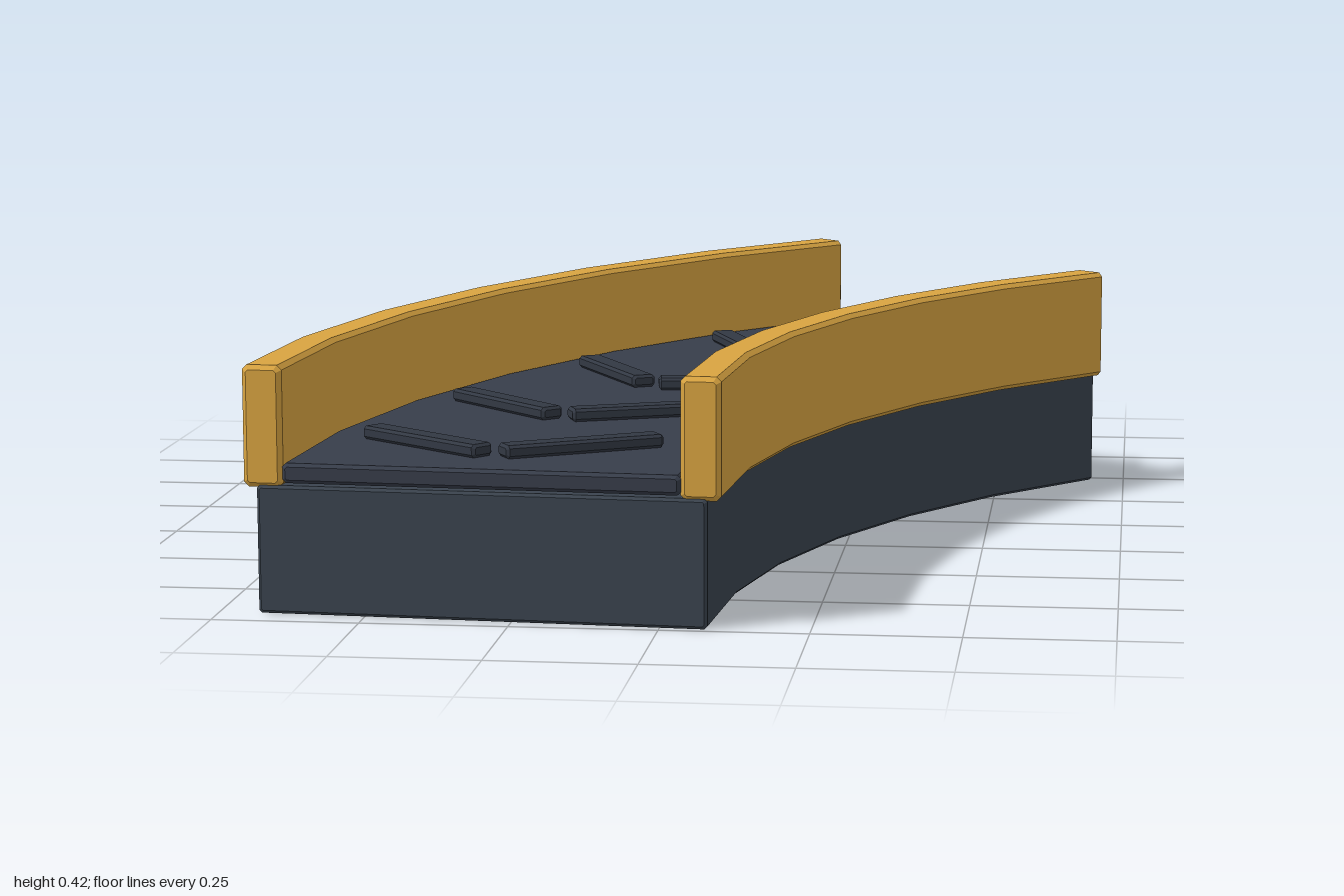
import * as THREE from 'three';
import { toCreasedNormals } from 'three/addons/utils/BufferGeometryUtils.js';

const mat = (name, color) => Object.assign(new THREE.MeshStandardMaterial({ color }), { name });

// Sweeps a bevelled rectangle (offsets o0..o1, heights y0..y1) along a flat polyline of (x, z)
// points, mitred at the corners and cut square at both ends.
function sweep(path, o0, o1, y0, y1, bevel) {
  const dirs = path.slice(1).map((p, i) => p.clone().sub(path[i]).normalize());
  const stations = path.map((p, i) => {
    const a = dirs[Math.max(i - 1, 0)], b = dirs[Math.min(i, dirs.length - 1)];
    const d = a.clone().add(b).normalize();
    const k = 1 / d.dot(a);
    return { p, n: new THREE.Vector2(d.y * k, -d.x * k), inset: 0 };
  });
  // End faces are slightly inset to give bevelled rims
  const last = stations.length - 1;
  const endCap = (s, dir) => {
    const cap = { p: s.p.clone(), n: s.n, inset: bevel };
    s.p = s.p.clone().addScaledVector(dir, bevel);
    return cap;
  };
  const first = endCap(stations[0], dirs[0]);
  const end = endCap(stations[last], dirs[dirs.length - 1].clone().negate());
  const rings = [first, ...stations, end];

  const pos = [], idx = [], N = 8;
  for (const { p, n, inset } of rings) {
    const l = o0 + inset, r = o1 - inset, d = y0 + inset, u = y1 - inset;
    const c = bevel - inset * 0.5;
    const section = [[l + c, d], [r - c, d], [r, d + c], [r, u - c],
      [r - c, u], [l + c, u], [l, u - c], [l, d + c]];
    for (const [o, y] of section) pos.push(p.x + n.x * o, y, p.y + n.y * o);
  }
  for (let i = 0; i < rings.length - 1; i++) {
    for (let j = 0; j < N; j++) {
      const a = i * N + j, b = i * N + (j + 1) % N;
      idx.push(a, b, b + N, a, b + N, a + N);
    }
  }
  const e = (rings.length - 1) * N;
  for (let j = 1; j < N - 1; j++) idx.push(0, j + 1, j, e, e + j, e + j + 1);

  const g = new THREE.BufferGeometry();
  g.setAttribute('position', new THREE.Float32BufferAttribute(pos, 3));
  g.setIndex(idx);
  return toCreasedNormals(g, 0.5);
}

export function createModel() {
  const model = new THREE.Group();
  model.name = 'curvedConveyor';
  const railMat = mat('amber rail', 0xd9a441);
  const baseMat = mat('slate base', 0x3a434e);
  const beltMat = mat('dark belt', 0x373d4a);
  const barMat = mat('chevron grey', 0x323843);

  const add = (parent, name, geometry, material) => {
    const mesh = new THREE.Mesh(geometry, material);
    mesh.name = name;
    parent.add(mesh);
  };

  // 45 degree centre line in six straight steps
  const RADIUS = 2.404, CX = 2.1025, CZ = 0.9655, STEPS = 6;
  const SWEEP = Math.PI / 4, STEP = SWEEP / STEPS;
  const onArc = (a) => new THREE.Vector2(CX - RADIUS * Math.cos(a), CZ - RADIUS * Math.sin(a));
  const path = Array.from({ length: STEPS + 1 }, (_, i) => onArc(i * STEP));

  // Base, belt and side rails
  add(model, 'base', sweep(path, -0.382, 0.382, 0, 0.218, 0.005), baseMat);
  add(model, 'belt', sweep(path, -0.338, 0.338, 0.222, 0.256, 0.006), beltMat);
  add(model, 'outerRail', sweep(path, 0.337, 0.405, 0.214, 0.42, 0.008), railMat);
  add(model, 'innerRail', sweep(path, -0.405, -0.337, 0.214, 0.42, 0.008), railMat);

  // Chevron bars, each pair turned with the belt step it lies on
  const ARM = 0.144, TILT = 0.602;
  for (let i = 0; i < 5; i++) {
    const a = THREE.MathUtils.degToRad(4.77 + 9.58 * i);
    const turn = (Math.floor(a / STEP) + 0.5) * STEP;
    const chevron = new THREE.Group();
    chevron.name = 'chevron' + (i + 1);
    for (const side of [-1, 1]) {
      const c = onArc(a);
      c.x += side * 0.135 * Math.cos(turn);
      c.y += side * 0.135 * Math.sin(turn);
      const t = turn - side * TILT;
      const d = new THREE.Vector2(Math.cos(t), Math.sin(t));
      const ends = [-ARM, ARM].map((s) => c.clone().addScaledVector(d, s));
      add(chevron, side < 0 ? 'outerBar' : 'innerBar',
        sweep(ends, -0.0225, 0.0225, 0.256, 0.279, 0.005), barMat);
    }
    model.add(chevron);
  }
  return model;
}
